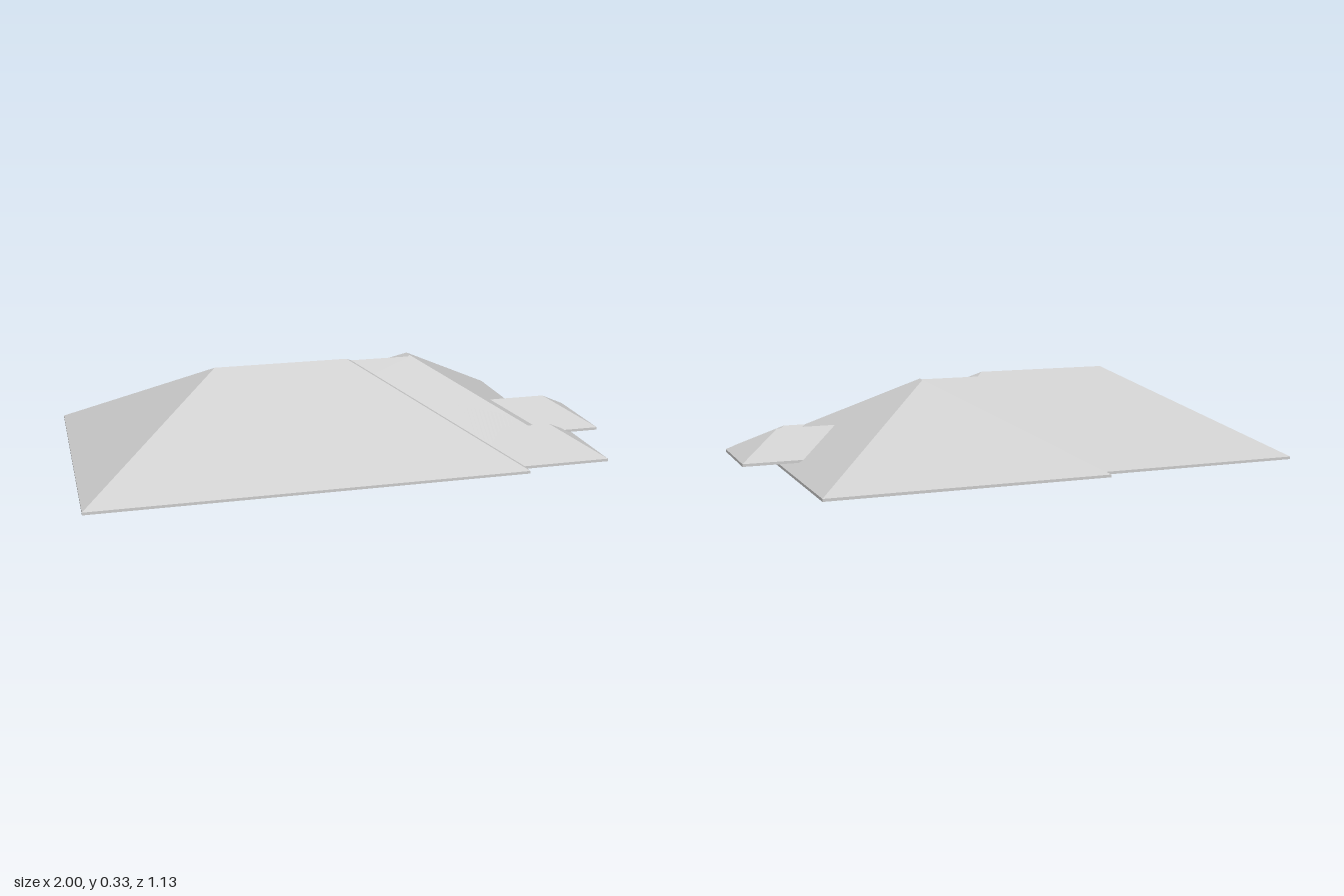
import * as THREE from 'three';

const SLOPE = 0.577; // 30 degree pitch
const EAVE = 0.018;
const FASCIA = 0.01;

// Hipped roof over a rectangle; the ridge runs along the longer side
function hipGeometry(x0, x1, z0, z1, y) {
  const half = Math.min(x1 - x0, z1 - z0) / 2;
  const top = y + half * SLOPE;
  const a = [x0, y, z0], b = [x1, y, z0], c = [x1, y, z1], d = [x0, y, z1];
  const alongX = x1 - x0 > z1 - z0;
  const p = [x0 + half, top, z0 + half];
  const q = [x1 - half, top, z1 - half];
  const faces = alongX
    ? [d, c, q, d, q, p, b, a, p, b, p, q, a, d, p, c, b, q]
    : [d, c, q, b, a, p, a, d, q, a, q, p, c, b, p, c, p, q];
  const g = new THREE.BufferGeometry();
  g.setAttribute('position', new THREE.Float32BufferAttribute(faces.flat(), 3));
  g.computeVertexNormals();
  return g;
}

export function createModel() {
  const model = new THREE.Group();
  model.name = 'hippedRoof';
  const grey = new THREE.MeshStandardMaterial({ color: 0xcccccc });
  grey.name = 'roofGrey';

  const add = (name, geometry, parent = model) => {
    const mesh = new THREE.Mesh(geometry, grey);
    mesh.name = name;
    parent.add(mesh);
    return mesh;
  };
  const box = (name, x0, x1, y0, y1, z0, z1, parent) => {
    const g = new THREE.BoxGeometry(x1 - x0, y1 - y0, z1 - z0);
    g.translate((x0 + x1) / 2, (y0 + y1) / 2, (z0 + z1) / 2);
    return add(name, g, parent);
  };

  // Interlocking hips, each running on inside its neighbours
  add('mainRoof', hipGeometry(-1, 0.595, -0.52, 0.565, EAVE));
  add('backRoof', hipGeometry(-0.21, 0.84, -0.57, 0.515, EAVE));
  add('linkRoof', hipGeometry(-0.95, 0.84, -0.52, 0.515, EAVE));
  add('sideWingRoof', hipGeometry(0.4, 0.925, 0.18, 0.515, EAVE));

  // Raised porch roof on its own slab
  add('porchRoof', hipGeometry(0.45, 1, -0.065, 0.26, 0.053));
  box('porchFascia', 0.77, 1, 0.043, 0.053, -0.065, 0.26);

  // Rooms under the roof: x0, x1, z0, z1
  const rooms = [
    [0.23, 0.78, -0.52, 0], [-0.07, 0.21, -0.51, -0.2], [-0.24, -0.09, -0.46, -0.2],
    [-0.52, -0.26, -0.46, -0.2], [-0.73, -0.54, -0.46, -0.27], [-0.95, -0.75, -0.46, -0.27],
    [-0.95, -0.51, -0.25, 0.15], [-0.49, -0.1, -0.18, 0], [-0.08, 0.21, -0.18, 0],
    [-0.49, 0.53, 0.02, 0.5], [0.55, 0.87, 0.22, 0.47], [0.55, 0.78, 0.02, 0.2],
  ];

  // Fascia and soffit: one thin slab with the rooms cut out
  const outline = [
    [-1, -0.52], [-0.21, -0.52], [-0.21, -0.57], [0.84, -0.57], [0.84, 0.18],
    [0.925, 0.18], [0.925, 0.515], [0.595, 0.515], [0.595, 0.565], [-1, 0.565],
  ];
  const shape = new THREE.Shape(outline.map(([x, z]) => new THREE.Vector2(x, z)));
  for (const [x0, x1, z0, z1] of rooms) {
    shape.holes.push(new THREE.Path([[x0, z0], [x0, z1], [x1, z1], [x1, z0]]
      .map(([x, z]) => new THREE.Vector2(x, z))));
  }
  const soffit = new THREE.ExtrudeGeometry(shape, { depth: FASCIA, bevelEnabled: false });
  soffit.rotateX(Math.PI / 2).translate(0, EAVE, 0);
  add('soffit', soffit);

  // Recessed ceilings with small round lights
  const ceilings = new THREE.Group();
  ceilings.name = 'ceilings';
  model.add(ceilings);
  const lamp = new THREE.CylinderGeometry(0.006, 0.006, 0.003, 10);
  for (const [x0, x1, z0, z1] of rooms) {
    box('ceiling', x0 - 0.005, x1 + 0.005, EAVE, EAVE + 0.005, z0 - 0.005, z1 + 0.005, ceilings);
    const nx = Math.max(1, Math.round((x1 - x0) / 0.24));
    const nz = Math.max(1, Math.round((z1 - z0) / 0.24));
    for (let i = 0; i < nx; i++) {
      for (let j = 0; j < nz; j++) {
        add('ceilingLight', lamp, ceilings).position.set(
          x0 + (x1 - x0) * (i + 0.5) / nx, EAVE - 0.0015, z0 + (z1 - z0) * (j + 0.5) / nz);
      }
    }
  }

  // Slim hanging lamp, the lowest point
  const pendant = add('pendantLight', new THREE.CylinderGeometry(0.004, 0.004, EAVE, 10));
  pendant.position.set(-0.75, EAVE / 2, 0.04);
  return model;
}
